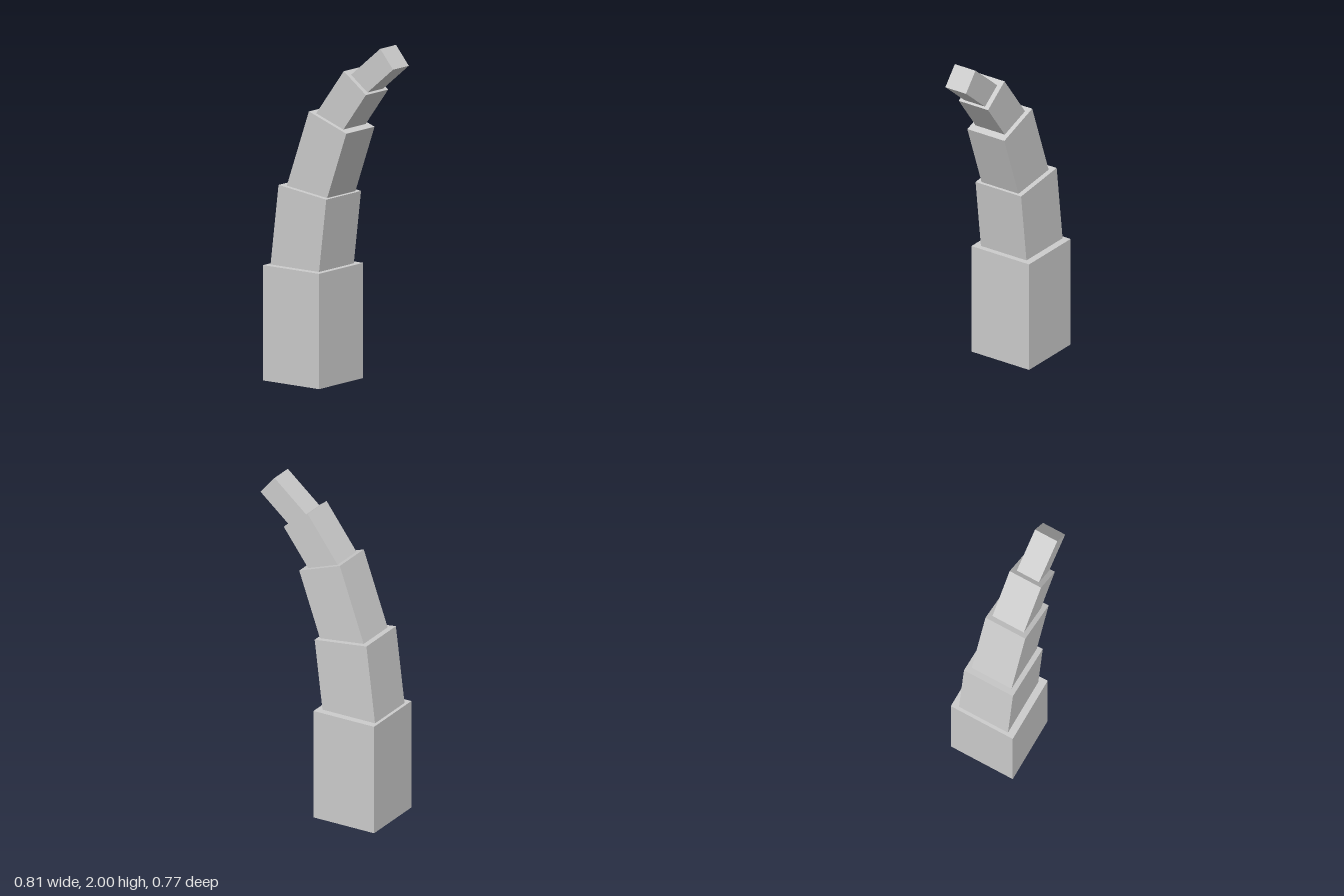
import * as THREE from 'three';

// Curved stack of shrinking blocks. Each block is set by the centre of its top face
// in the bending plane, its forward tilt, and its size.
const BLOCKS = [
  { name: 'baseBlock', top: [-0.154, 0.67], tilt: 0, length: 0.67, depth: 0.405, width: 0.405 },
  { name: 'lowerBlock', top: [-0.106, 1.118], tilt: 7, length: 0.5, depth: 0.349, width: 0.32 },
  { name: 'middleBlock', top: [0.053, 1.538], tilt: 19.5, length: 0.5, depth: 0.288, width: 0.26 },
  { name: 'upperBlock', top: [0.229, 1.785], tilt: 36.5, length: 0.36, depth: 0.2, width: 0.205 },
  { name: 'tipBlock', top: [0.436, 1.945], tilt: 50, length: 0.3, depth: 0.144, width: 0.145 },
];

export function createModel() {
  const model = new THREE.Group();
  model.name = 'bentTower';
  const material = new THREE.MeshStandardMaterial({ color: 0xcccccc, flatShading: true });

  // The bending plane is turned towards the front left
  const stack = new THREE.Group();
  stack.name = 'blockStack';
  stack.rotation.y = THREE.MathUtils.degToRad(-42);
  model.add(stack);

  for (const { name, top, tilt, length, depth, width } of BLOCKS) {
    // Pivot at the top face; the lower end sinks into the block below
    const geometry = new THREE.BoxGeometry(depth, length, width).translate(0, -length / 2, 0);
    const block = new THREE.Mesh(geometry, material);
    block.name = name;
    block.position.set(top[0], top[1], 0.003);
    block.rotation.z = -THREE.MathUtils.degToRad(tilt);
    stack.add(block);
  }
  return model;
}
